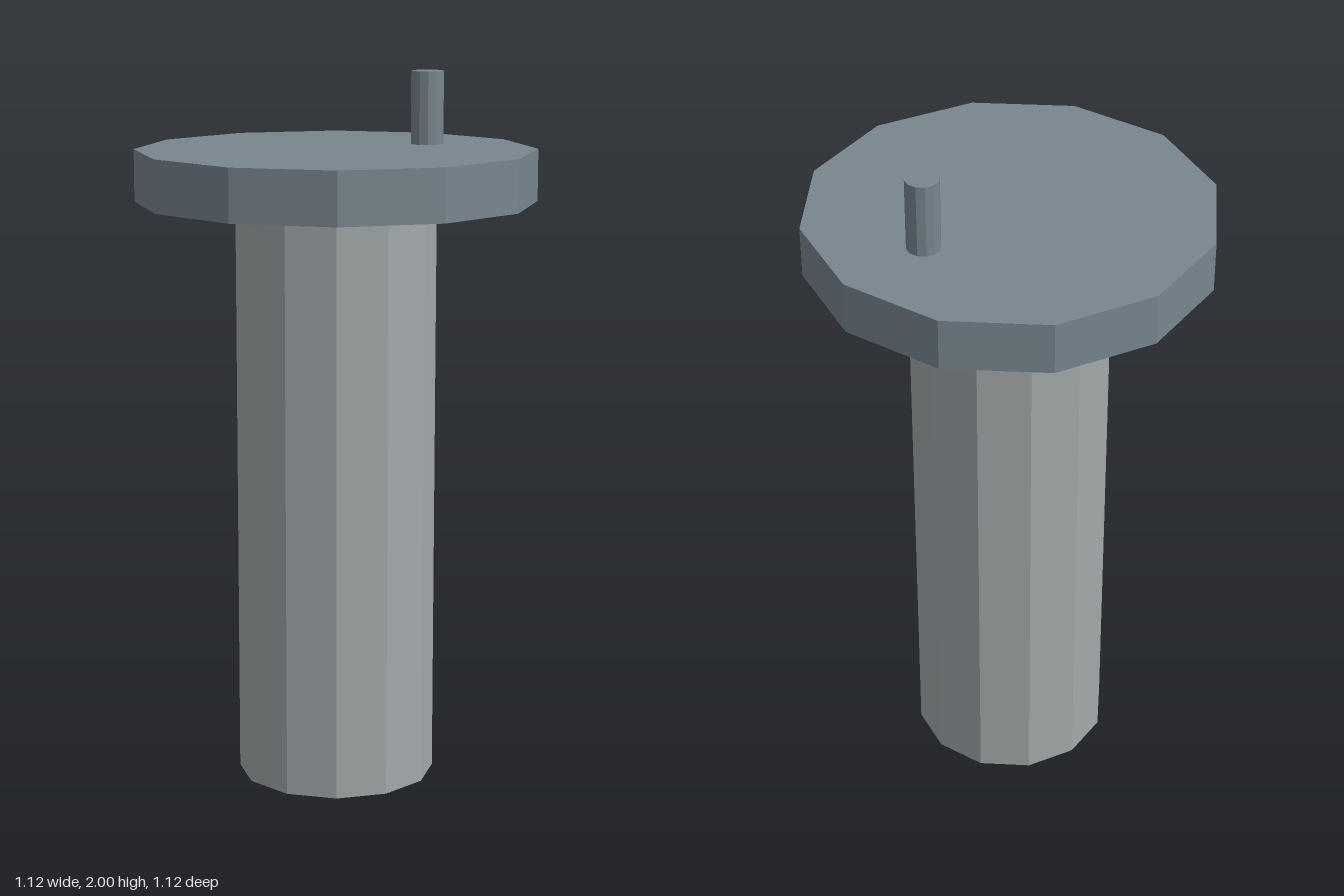
import * as THREE from 'three';

export function createModel() {
  const group = new THREE.Group();

  const paleMetal = new THREE.MeshStandardMaterial({ color: 0xa2a8aa, flatShading: true });
  paleMetal.name = 'pale metal';
  const blueSteel = new THREE.MeshStandardMaterial({ color: 0x78868f, flatShading: true });
  blueSteel.name = 'blue steel';

  // Upright twelve-sided cylinder between two heights
  function addCylinder(name, radius, bottom, top, x, material) {
    const geometry = new THREE.CylinderGeometry(radius, radius, top - bottom, 12);
    const mesh = new THREE.Mesh(geometry, material);
    mesh.name = name;
    mesh.position.set(x, (bottom + top) / 2, 0);
    group.add(mesh);
  }

  addCylinder('column', 0.28, 0, 1.65, 0, paleMetal);
  addCylinder('disc', 0.56, 1.65, 1.795, 0, blueSteel);
  // Off-centre crank pin
  addCylinder('pin', 0.046, 1.795, 2, 0.298, blueSteel);

  return group;
}
